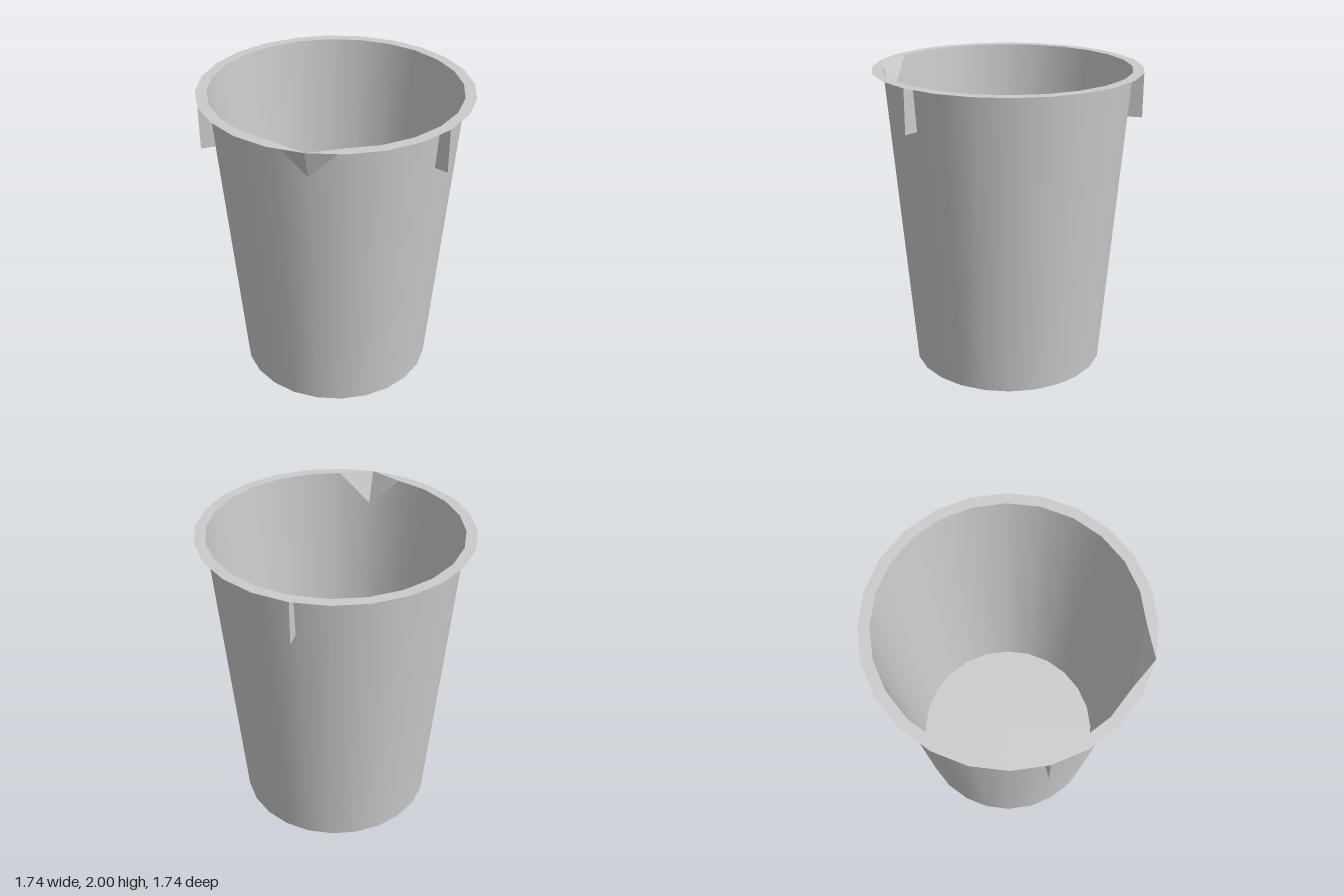
import * as THREE from 'three';

const SIDES = 24, HEIGHT = 2;
const BASE_R = 0.64, TOP_R = 0.8, RIM_R = 0.87;
const SPOUT_Y = 1.8, FIN_Y = 1.72;
const wallRadius = (y) => BASE_R + (TOP_R - BASE_R) * y / HEIGHT;

const material = new THREE.MeshStandardMaterial({ color: 0xcccccc, side: THREE.DoubleSide });

function addMesh(group, name, geometry) {
  const mesh = new THREE.Mesh(geometry, material);
  mesh.name = name;
  group.add(mesh);
  return mesh;
}

// Flat-shaded triangles from a list of corner points
function triangles(points) {
  const geometry = new THREE.BufferGeometry().setFromPoints(points.map((p) => new THREE.Vector3(...p)));
  geometry.computeVertexNormals();
  return geometry;
}

export function createModel() {
  const group = new THREE.Group();
  group.name = 'beaker';

  // Tapered wall; the front top corner drops to open a V notch for the spout
  const wall = new THREE.CylinderGeometry(TOP_R, BASE_R, HEIGHT, SIDES, 1, true);
  wall.translate(0, HEIGHT / 2, 0);
  for (const i of [0, SIDES]) wall.attributes.position.setXYZ(i, 0, SPOUT_Y, wallRadius(SPOUT_Y));
  addMesh(group, 'wall', wall);

  // Floor
  const floor = new THREE.CircleGeometry(BASE_R, SIDES);
  floor.rotateX(Math.PI / 2);
  addMesh(group, 'floor', floor);

  // Flat rim; its inner front corner is pulled out to the spout tip
  const rim = new THREE.RingGeometry(TOP_R, RIM_R, SIDES, 1, -Math.PI / 2);
  rim.rotateX(-Math.PI / 2);
  rim.translate(0, HEIGHT, 0);
  for (const i of [0, SIDES]) rim.attributes.position.setXYZ(i, 0, HEIGHT, RIM_R);
  addMesh(group, 'rim', rim);

  // Pouring spout: two triangles meeting in a sloping front crease
  const step = 2 * Math.PI / SIDES;
  const sx = TOP_R * Math.sin(step), sz = TOP_R * Math.cos(step);
  const tip = [0, HEIGHT, RIM_R], foot = [0, SPOUT_Y, wallRadius(SPOUT_Y)];
  addMesh(group, 'spout', triangles([
    foot, [sx, HEIGHT, sz], tip,
    foot, tip, [-sx, HEIGHT, sz],
  ]));

  // Three thin radial fins below the rim, one at the back and one on each side
  const a = [0, FIN_Y, wallRadius(FIN_Y)], b = [0, FIN_Y, RIM_R];
  const c = [0, HEIGHT, RIM_R], d = [0, HEIGHT, TOP_R];
  const fin = triangles([a, b, c, a, c, d]);
  const fins = { leftFin: Math.PI / 3, backFin: Math.PI, rightFin: -Math.PI / 3 };
  for (const [name, angle] of Object.entries(fins)) addMesh(group, name, fin).rotation.y = angle;

  return group;
}
